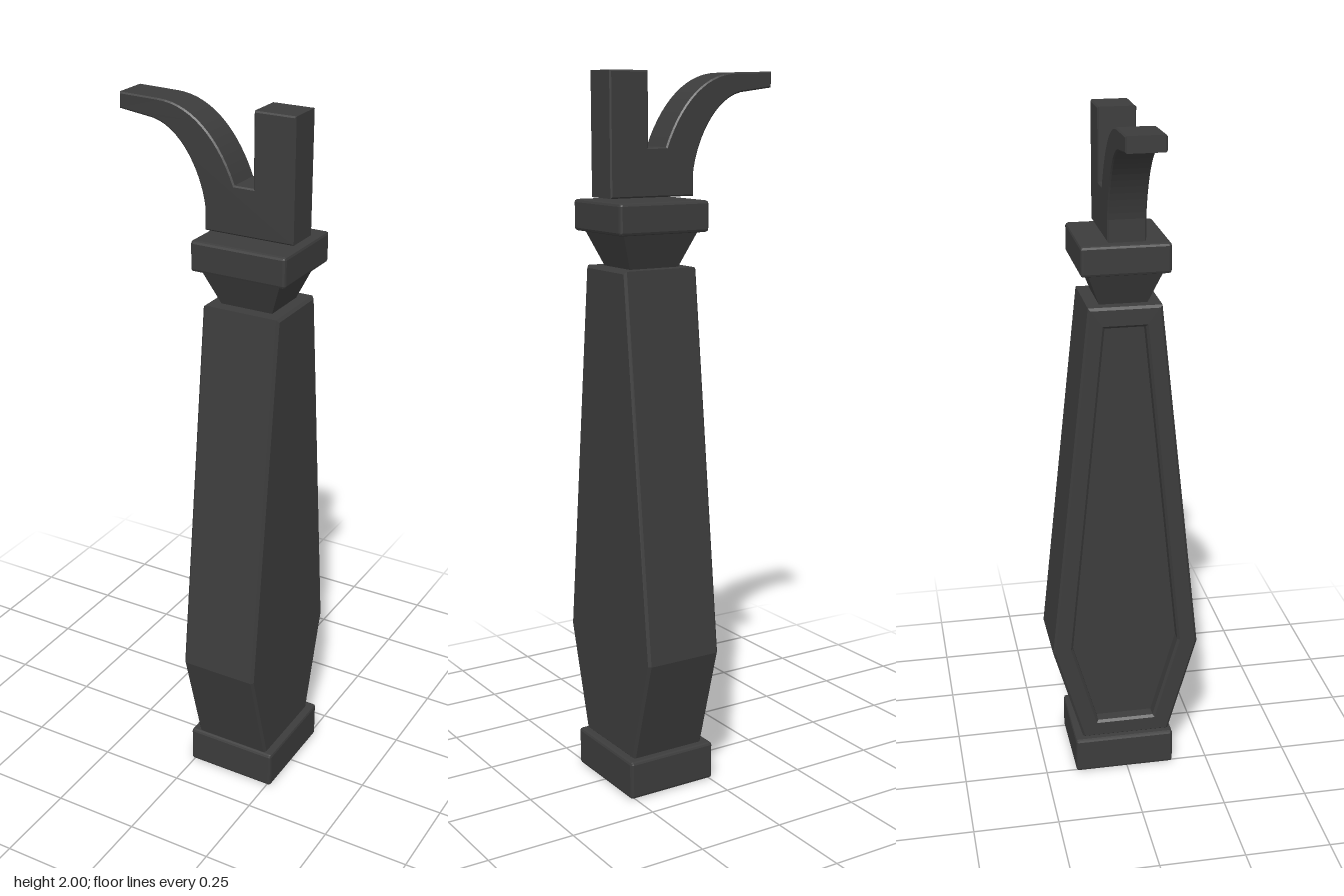
import * as THREE from 'three';
import { RoundedBoxGeometry } from 'three/addons/geometries/RoundedBoxGeometry.js';

const dark = new THREE.MeshStandardMaterial({ color: 0x3c3c3c, flatShading: true });

function part(name, geometry) {
  const mesh = new THREE.Mesh(geometry, dark);
  mesh.name = name;
  return mesh;
}

// Box with small chamfered edges, given by its limits on each axis
function block(name, x0, x1, y0, y1, z0, z1) {
  const g = new RoundedBoxGeometry(x1 - x0, y1 - y0, z1 - z0, 1, 0.008);
  g.translate((x0 + x1) / 2, (y0 + y1) / 2, (z0 + z1) / 2);
  return part(name, g);
}

// Extrusion whose bevel stays inside the outline, running from 0 to thickness
function slab(shape, thickness, bevel) {
  const g = new THREE.ExtrudeGeometry(shape, {
    depth: thickness - 2 * bevel, bevelEnabled: true, bevelSegments: 1,
    bevelSize: bevel, bevelThickness: bevel, bevelOffset: -bevel, curveSegments: 14,
  });
  return g.translate(0, 0, bevel);
}

// Symmetric outline from [half width, height] pairs, bottom to top
function mirrored(pairs) {
  return [
    ...pairs.map(([w, y]) => new THREE.Vector2(w, y)),
    ...pairs.slice().reverse().map(([w, y]) => new THREE.Vector2(-w, y)),
  ];
}

export function createModel() {
  const model = new THREE.Group();
  model.name = 'handleWithHook';

  // Foot and collar blocks
  model.add(block('foot', -0.01, 0.262, 0, 0.11, -0.158, 0.143));
  model.add(block('collar', -0.013, 0.266, 1.575, 1.66, -0.127, 0.123));

  // Coffin-shaped grip: solid core plus a rim that frames the recess on -x
  const outline = mirrored([[0.132, 0.105], [0.22, 0.41], [0.104, 1.48]]);
  const recess = mirrored([[0.085, 0.16], [0.16, 0.42], [0.058, 1.42]]);
  const grip = new THREE.Group();
  grip.name = 'grip';
  const core = slab(new THREE.Shape(outline), 0.187, 0.007);
  core.rotateY(Math.PI / 2).translate(0.053, 0, 0);
  const rimShape = new THREE.Shape(outline);
  rimShape.holes.push(new THREE.Path(recess));
  const rim = slab(rimShape, 0.065, 0.007);
  rim.rotateY(Math.PI / 2).translate(0.013, 0, 0);
  grip.add(part('gripCore', core), part('gripRim', rim));
  model.add(grip);

  // Neck flaring up towards the collar
  const neck = new THREE.BoxGeometry(1, 0.115, 1);
  const p = neck.attributes.position;
  for (let i = 0; i < p.count; i++) {
    const top = p.getY(i) > 0;
    p.setX(i, p.getX(i) * (top ? 0.235 : 0.14));
    p.setZ(i, p.getZ(i) * (top ? 0.212 : 0.125));
  }
  neck.translate(0.126, 1.5225, 0);
  model.add(part('neck', neck));

  // Forked head: straight post and curved hook in one profile
  const s = new THREE.Shape();
  s.moveTo(-0.01, 1.668);
  s.lineTo(0.25, 1.668);
  s.lineTo(0.25, 2);
  s.lineTo(0.133, 2);
  s.lineTo(0.133, 1.8);
  s.lineTo(0.077, 1.8);
  s.bezierCurveTo(0.03, 1.92, -0.05, 1.995, -0.15, 1.997);
  s.lineTo(-0.267, 2);
  s.lineTo(-0.267, 1.957);
  s.lineTo(-0.165, 1.944);
  s.bezierCurveTo(-0.075, 1.925, -0.02, 1.81, -0.01, 1.73);
  const head = slab(s, 0.106, 0.004);
  head.translate(0, 0, -0.054);
  model.add(part('hookAndPost', head));

  return model;
}
